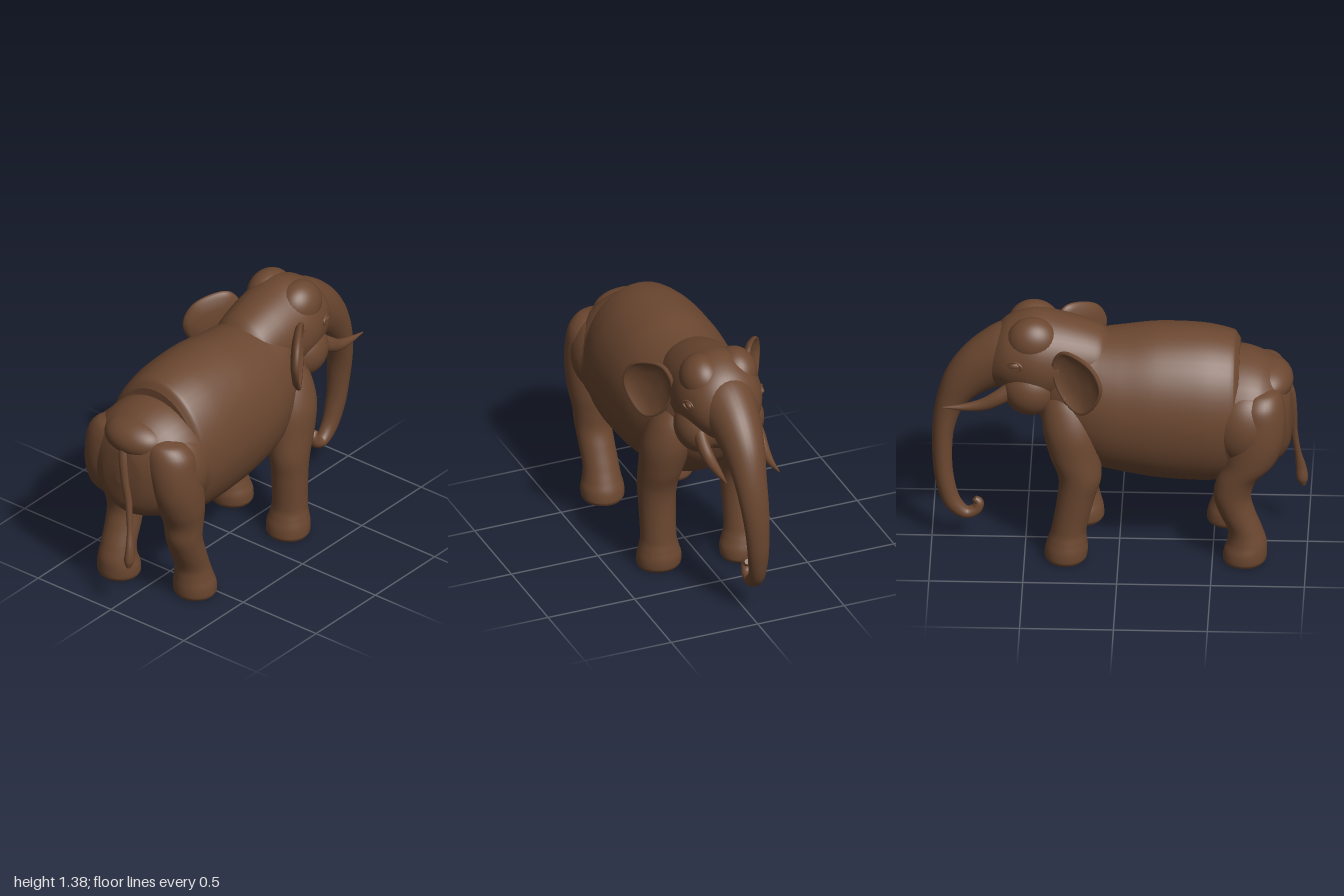
import * as THREE from 'three';

const hide = new THREE.MeshStandardMaterial({ color: 0x6b4730 });
hide.name = 'brown hide';

// Smooth skin over elliptical rings [x, y, z, radius in the xy plane, radius along z].
// The rings face dir, or follow the path when dir is left out.
function loft(rings, { dir = null, steps = 48, sides = 32 } = {}) {
  const path = new THREE.CatmullRomCurve3(rings.map(r => new THREE.Vector3(r[0], r[1], r[2])));
  const size = new THREE.CatmullRomCurve3(rings.map((r, i) => new THREE.Vector3(r[3], r[4], i)));
  const pos = [], idx = [], row = sides + 1;
  for (let i = 0; i <= steps; i++) {
    const t = i / steps, c = path.getPoint(t), s = size.getPoint(t);
    const d = dir ? dir.clone() : path.getTangent(t).setZ(0).normalize();
    for (let j = 0; j <= sides; j++) {
      const a = (j % sides) / sides * Math.PI * 2;
      const u = Math.cos(a) * s.x, v = Math.sin(a) * s.y;
      pos.push(c.x - d.y * u, c.y + d.x * u, c.z + v);
      if (i < steps && j < sides) {
        const k = i * row + j;
        idx.push(k, k + 1, k + row, k + 1, k + row + 1, k + row);
      }
    }
  }
  // flat end caps with their own corners
  for (const [ring, flip] of [[0, true], [steps, false]]) {
    const c = path.getPoint(ring / steps), centre = pos.length / 3;
    pos.push(c.x, c.y, c.z);
    for (let j = 0; j <= sides; j++) {
      const k = (ring * row + j) * 3;
      pos.push(pos[k], pos[k + 1], pos[k + 2]);
    }
    for (let j = 1; j <= sides; j++) {
      idx.push(centre, centre + (flip ? j + 1 : j), centre + (flip ? j : j + 1));
    }
  }
  const g = new THREE.BufferGeometry();
  g.setAttribute('position', new THREE.Float32BufferAttribute(pos, 3));
  g.setIndex(idx);
  g.computeVertexNormals();
  // join the normals along the seam
  const n = g.attributes.normal;
  for (let i = 0; i <= steps; i++) {
    const a = i * row, b = a + sides;
    const m = new THREE.Vector3().fromBufferAttribute(n, a)
      .add(new THREE.Vector3().fromBufferAttribute(n, b)).normalize();
    n.setXYZ(a, m.x, m.y, m.z);
    n.setXYZ(b, m.x, m.y, m.z);
  }
  return g;
}

// Dished ear: a lathe profile stretched to the ear's outline, hollow on the outer face.
function earGeometry(side) {
  const outline = [[0.01, 1.08], [0, 1.19], [0.06, 1.27], [0.16, 1.27], [0.27, 1.22],
    [0.322, 1.12], [0.285, 1.01], [0.185, 0.922], [0.08, 0.97]]
    .map(([s, y]) => new THREE.Vector3(-s, y, 0));
  const edge = new THREE.CatmullRomCurve3(side > 0 ? outline : outline.reverse(), true);
  const profile = [[0, -0.03], [0.5, -0.03], [0.85, -0.018], [0.97, -0.002], [1, 0.012],
    [0.97, 0.022], [0.9, 0.02], [0.78, 0.002], [0.45, -0.012], [0, -0.014]]
    .map(p => new THREE.Vector2(...p));
  const segments = 56;
  const g = new THREE.LatheGeometry(profile, segments);
  const p = g.attributes.position, middle = new THREE.Vector3(-0.16, 1.11, 0);
  for (let i = 0; i < p.count; i++) {
    const { x: scale, y: height } = profile[i % profile.length];
    const turn = Math.floor(i / profile.length) % segments / segments;
    const v = edge.getPoint(turn).lerp(middle, 1 - scale);
    p.setXYZ(i, v.x, v.y, height * side);
  }
  g.computeVertexNormals();
  return g;
}

export function createModel() {
  const model = new THREE.Group();
  model.name = 'elephant';
  const alongX = new THREE.Vector3(1, 0, 0), up = new THREE.Vector3(0, 1, 0);
  const { smoothstep } = THREE.MathUtils;

  const add = (name, geometry) => {
    const m = new THREE.Mesh(geometry, hide);
    m.name = name;
    model.add(m);
    return m;
  };
  const ball = (name, x, y, z, rx, ry, rz) =>
    add(name, new THREE.SphereGeometry(1, 36, 24).scale(rx, ry, rz).translate(x, y, z));

  // barrel body with a stepped rear edge
  add('torso', loft([
    [-0.64, 0.83, 0.01, 0.37, 0.29], [-0.61, 0.83, 0.01, 0.415, 0.32],
    [-0.45, 0.84, 0.01, 0.44, 0.35], [-0.2, 0.85, 0.01, 0.435, 0.355],
    [0, 0.855, 0.01, 0.405, 0.34], [0.12, 0.865, 0.005, 0.385, 0.315],
    [0.26, 0.91, 0, 0.35, 0.265], [0.38, 0.95, 0, 0.27, 0.2], [0.46, 0.97, 0, 0.14, 0.1],
  ], { dir: alongX, sides: 48 }));

  // hindquarters
  add('rump', loft([
    [-0.925, 0.79, 0, 0.04, 0.03], [-0.91, 0.79, 0, 0.17, 0.13], [-0.86, 0.8, 0, 0.255, 0.24],
    [-0.76, 0.81, 0, 0.315, 0.315], [-0.63, 0.81, 0.01, 0.345, 0.335], [-0.5, 0.8, 0.01, 0.33, 0.32],
  ], { dir: alongX, sides: 40 }));
  ball('rumpHump', -0.785, 0.99, 0, 0.14, 0.11, 0.19);

  // legs: those on the right side step differently from the left
  const foreLeg = [
    [0.2, 0, 0.225, 0.1, 0.108], [0.203, 0.02, 0.225, 0.113, 0.12], [0.207, 0.07, 0.225, 0.114, 0.121],
    [0.21, 0.12, 0.228, 0.104, 0.109], [0.212, 0.18, 0.23, 0.094, 0.098], [0.205, 0.38, 0.235, 0.1, 0.1],
    [0.205, 0.5, 0.235, 0.115, 0.107], [0.23, 0.62, 0.225, 0.135, 0.118], [0.255, 0.78, 0.2, 0.15, 0.135],
    [0.27, 0.92, 0.17, 0.13, 0.115], [0.28, 1.02, 0.14, 0.07, 0.07],
  ];
  const hindLeg = [
    [-0.57, 0, 0.22, 0.105, 0.105], [-0.572, 0.02, 0.22, 0.116, 0.116], [-0.577, 0.07, 0.22, 0.115, 0.117],
    [-0.585, 0.12, 0.22, 0.105, 0.106], [-0.6, 0.19, 0.22, 0.093, 0.098], [-0.645, 0.3, 0.225, 0.097, 0.098],
    [-0.68, 0.4, 0.23, 0.1, 0.1], [-0.685, 0.5, 0.23, 0.108, 0.11], [-0.705, 0.6, 0.23, 0.135, 0.125],
    [-0.73, 0.72, 0.225, 0.15, 0.135], [-0.75, 0.85, 0.21, 0.142, 0.14], [-0.755, 0.95, 0.19, 0.125, 0.14],
    [-0.765, 1.01, 0.175, 0.085, 0.1], [-0.77, 1.035, 0.17, 0.012, 0.015],
  ];
  const leg = (name, rings, side, step = () => 0) => add(name, loft(rings.map(([x, y, z, u, v]) =>
    [x + step(y), y, z * side + 0.01, u, v]), { dir: up, steps: 72 }));
  leg('leftForeLeg', foreLeg, 1);
  leg('rightForeLeg', foreLeg, -1, y => 0.08 * Math.max(0, 1 - y / 0.5));
  leg('leftHindLeg', hindLeg, 1);
  leg('rightHindLeg', hindLeg, -1, y =>
    -0.1 + 0.175 * smoothstep(y, 0.12, 0.42) - 0.075 * smoothstep(y, 0.42, 0.65));

  // head, running from the nape to the root of the trunk
  add('head', loft([
    [0.03, 1.1, 0, 0.12, 0.13], [0.1, 1.09, 0, 0.195, 0.19], [0.22, 1.1, 0, 0.23, 0.215],
    [0.34, 1.11, 0, 0.252, 0.228], [0.45, 1.12, 0, 0.262, 0.235], [0.55, 1.13, 0, 0.225, 0.215],
    [0.63, 1.12, 0, 0.178, 0.178], [0.72, 1.07, 0, 0.11, 0.1],
  ], { dir: alongX, sides: 48 }));
  ball('chin', 0.5, 0.94, 0, 0.13, 0.1, 0.14);

  // trunk sweeping down from the forehead and curling at the tip
  add('trunk', loft([
    [0.42, 1.18, 0, 0.13, 0.13], [0.56, 1.135, 0, 0.178, 0.16], [0.7, 1.07, 0, 0.153, 0.135],
    [0.82, 0.965, 0, 0.117, 0.11], [0.9, 0.83, 0, 0.079, 0.09], [0.938, 0.68, -0.01, 0.06, 0.078],
    [0.945, 0.52, -0.022, 0.053, 0.066], [0.93, 0.36, -0.032, 0.05, 0.056],
    [0.885, 0.225, -0.04, 0.046, 0.044], [0.815, 0.168, -0.04, 0.034, 0.038],
    [0.762, 0.19, -0.04, 0.03, 0.033], [0.75, 0.23, -0.04, 0.026, 0.028], [0.772, 0.252, -0.04, 0.016, 0.018],
  ], { steps: 84 }));

  for (const side of [1, -1]) {
    const label = side > 0 ? 'left' : 'right';
    ball(label + 'Haunch', -0.68, 0.81, 0.2 * side + 0.005, 0.195, 0.22, 0.155);
    ball(label + 'CrownDome', 0.46, 1.25, 0.098 * side, 0.14, 0.132, 0.115);
    ball(label + 'Cheek', 0.47, 0.975, 0.12 * side, 0.15, 0.148, 0.128);

    // eye and its lid
    ball(label + 'Eye', 0.55, 1.155, 0.21 * side, 0.03, 0.018, 0.014);
    add(label + 'Eyelid', new THREE.TorusGeometry(0.034, 0.008, 10, 28).scale(1.05, 0.65, 1)
      .rotateY(0.4 * side).translate(0.55, 1.155, 0.211 * side));

    // upturned tusk
    add(label + 'Tusk', loft([
      [0.57, 0.985, 0.155 * side, 0.045, 0.034], [0.64, 0.935, 0.16 * side, 0.042, 0.034],
      [0.72, 0.89, 0.155 * side, 0.034, 0.03], [0.82, 0.868, 0.15 * side, 0.021, 0.02],
      [0.935, 0.866, 0.153 * side, 0.003, 0.003],
    ], { steps: 28, sides: 18 }));

    // ear swung out from the head
    const ear = add(label + 'Ear', earGeometry(side));
    ear.position.set(0.345, 0, 0.203 * side);
    ear.rotation.y = 0.59 * side;
  }

  // tail with a tuft
  add('tail', loft([
    [-0.86, 1.0, 0, 0.03, 0.04], [-0.9, 0.92, 0.01, 0.03, 0.032], [-0.918, 0.8, 0.03, 0.025, 0.026],
    [-0.925, 0.65, 0.06, 0.02, 0.02], [-0.945, 0.5, 0.085, 0.018, 0.016],
    [-0.962, 0.4, 0.1, 0.028, 0.022], [-0.97, 0.33, 0.1, 0.03, 0.026], [-0.975, 0.288, 0.1, 0.012, 0.01],
  ], { sides: 18 }));

  return model;
}
